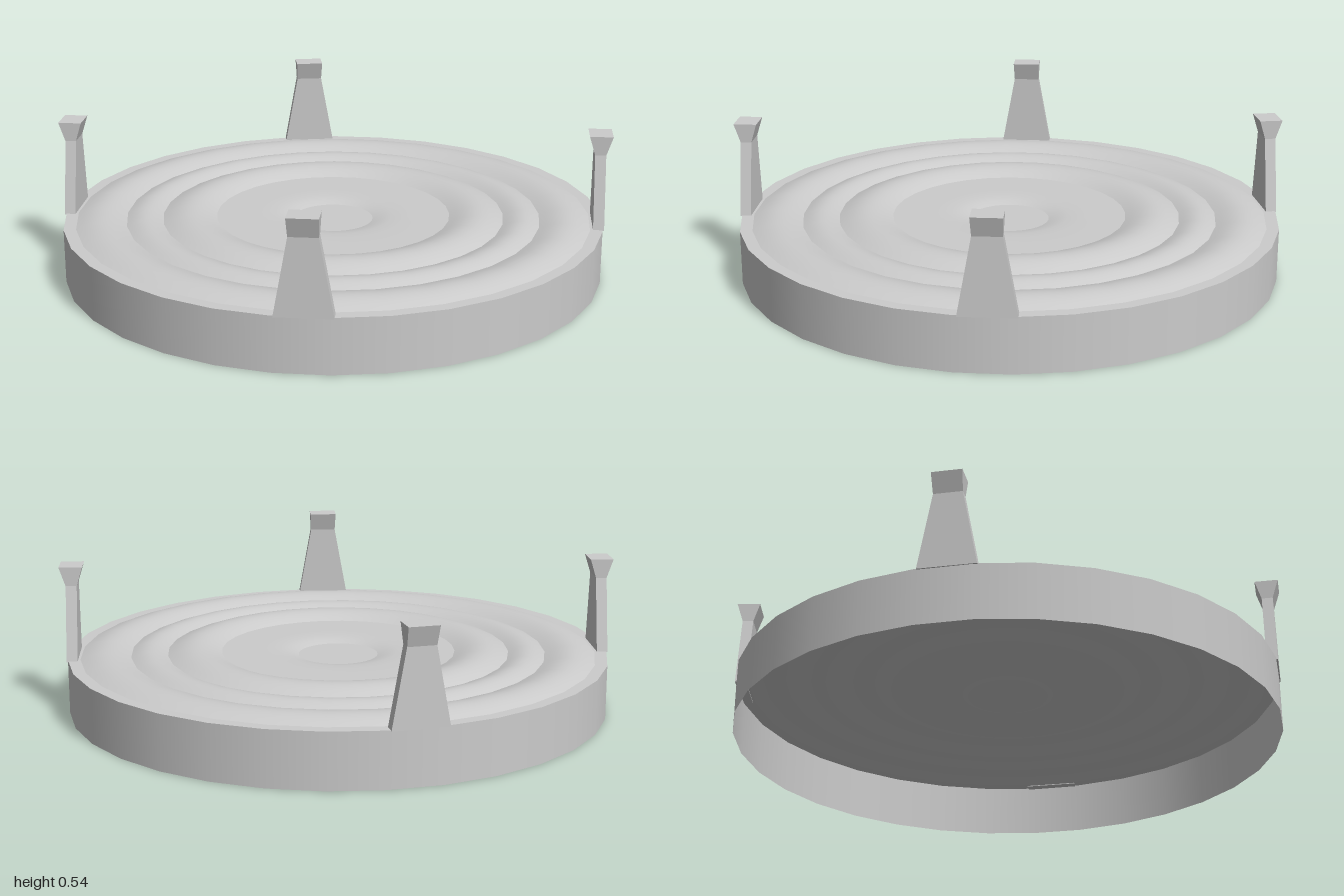
import * as THREE from 'three';

const SIDES = 32;
const START = Math.PI / SIDES;
const sheet = new THREE.MeshStandardMaterial({ color: 0xcccccc, side: THREE.DoubleSide });
const faceted = new THREE.MeshStandardMaterial({ color: 0xcccccc, flatShading: true });

// Turned sheet from [radius, height] points, running from the rim inwards
function turned(name, points) {
  const profile = points.map(([r, y]) => new THREE.Vector2(r, y));
  const mesh = new THREE.Mesh(new THREE.LatheGeometry(profile, SIDES, START), sheet);
  mesh.name = name;
  return mesh;
}

// Rounded ridge between two radii, standing on y = 0.2
function ridge(outer, inner, height, steps = 8) {
  const points = [];
  for (let i = 0; i <= steps; i++) {
    const t = i / steps;
    points.push([outer + (inner - outer) * t, 0.2 + height * Math.sin(Math.PI * t)]);
  }
  return points;
}

// Tapered post with a head that flares inwards and outwards
function makePost(x, z) {
  const levels = [ // y, half width, inner radius, outer radius
    [0.197, 0.1, 0.96, 1.0],
    [0.47, 0.05, 0.957, 0.997],
    [0.54, 0.053, 0.935, 1.02],
  ];
  const geometry = new THREE.BoxGeometry(2, 2, 2, 1, 2, 1);
  const p = geometry.attributes.position;
  for (let i = 0; i < p.count; i++) {
    const [y, half, inner, outer] = levels[Math.round(p.getY(i)) + 1];
    p.setXYZ(i, p.getX(i) * half, y, p.getZ(i) > 0 ? outer : inner);
  }
  geometry.computeVertexNormals();
  const post = new THREE.Mesh(geometry, faceted);
  post.rotation.y = Math.atan2(x, z);
  return post;
}

export function createModel() {
  const model = new THREE.Group();

  // Outer wall, open below, with its narrow flat rim
  model.add(turned('outerWall', [[1, 0], [1, 0.2]]));
  model.add(turned('rim', [[1, 0.2], [0.955, 0.2]]));

  // Concentric ridges meeting in sharp valleys
  model.add(turned('outerRidge', ridge(0.955, 0.77, 0.022)));
  model.add(turned('middleRidge', ridge(0.77, 0.635, 0.018)));
  model.add(turned('innerRidge', ridge(0.635, 0.435, 0.026)));

  // Flat middle with a shallow round dip
  model.add(turned('centreDish', [
    [0.435, 0.2], [0.28, 0.2], [0.22, 0.198], [0.18, 0.192], [0.148, 0.183],
  ]));
  model.add(turned('centreDisc', [[0.148, 0.183], [0, 0.183]]));

  // Four posts around the rim
  const spots = {
    backLeftPost: [0.682, -0.705],
    backRightPost: [-0.82, -0.53],
    frontLeftPost: [0.7, 0.685],
    frontRightPost: [-0.685, 0.7],
  };
  for (const [name, [x, z]] of Object.entries(spots)) {
    const post = makePost(x, z);
    post.name = name;
    model.add(post);
  }
  return model;
}
